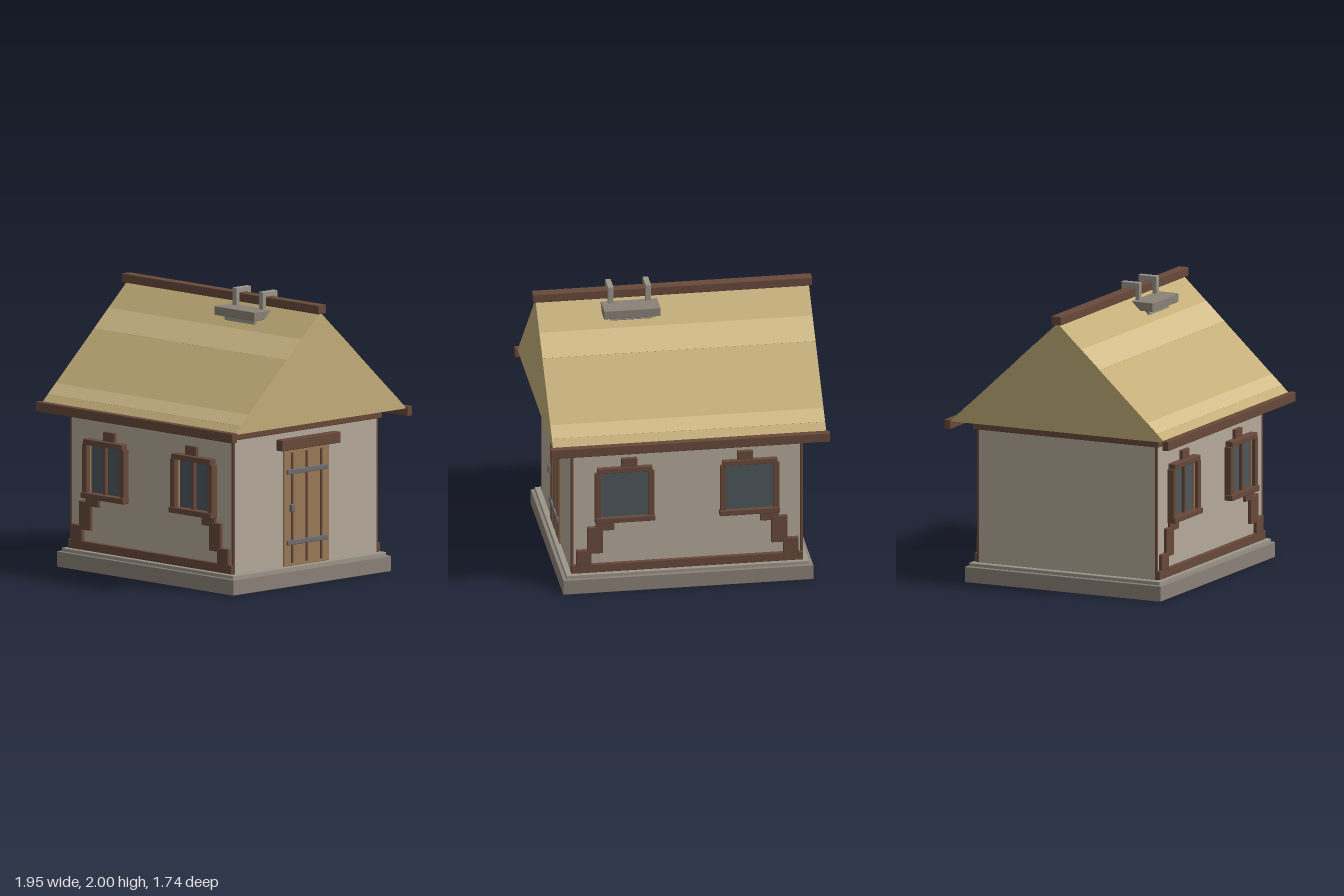
import * as THREE from 'three';
import { RoundedBoxGeometry } from 'three/addons/geometries/RoundedBoxGeometry.js';

const mat = (color) => new THREE.MeshStandardMaterial({ color });

export function createModel() {
  const house = new THREE.Group();
  house.name = 'cottage';
  const stone = mat(0x8b8278), plaster = mat(0xb5aa9a), timber = mat(0x68493a);
  const thatch = mat(0xc4ae7a), paleThatch = mat(0xd2bc8a), glass = mat(0x4d575c);
  const planks = mat(0x9a7a58), iron = mat(0x6e6e72), mortar = mat(0x9c958a);

  // Slightly eased box given by its extents on each axis
  function box(parent, name, material, [x0, x1], [y0, y1], [z0, z1]) {
    const w = x1 - x0, h = y1 - y0, d = z1 - z0;
    const radius = Math.min(0.005, Math.min(w, h, d) * 0.25);
    const mesh = new THREE.Mesh(new RoundedBoxGeometry(w, h, d, 1, radius), material);
    mesh.name = name;
    mesh.position.set((x0 + x1) / 2, (y0 + y1) / 2, (z0 + z1) / 2);
    parent.add(mesh);
    return mesh;
  }
  function group(name, parent = house) {
    const g = new THREE.Group();
    g.name = name;
    parent.add(g);
    return g;
  }

  // Stone footing and plastered walls
  box(house, 'foundation', stone, [-0.875, 0.875], [0, 0.11], [-0.76, 0.76]);
  box(house, 'foundationStep', mortar, [-0.85, 0.85], [0.105, 0.135], [-0.74, 0.74]);
  box(house, 'walls', plaster, [-0.81, 0.81], [0.13, 1.14], [-0.695, 0.695]);
  box(house, 'wallPlate', timber, [-0.83, 0.83], [1.075, 1.143], [-0.72, 0.72]);

  // Slim corner posts
  for (const sx of [-1, 1]) for (const sz of [-1, 1]) {
    const post = box(house, 'cornerPost', timber, [-0.01, 0.01], [0.135, 1.08], [-0.01, 0.01]);
    post.position.x = sx * 0.802;
    post.position.z = sz * 0.69;
  }

  // Half-timbering and windows; the back wall is the front turned around
  function longWall(name, isFront) {
    const wall = group(name);
    const out = isFront ? 0.75 : 0.725;
    box(wall, 'sillBeam', timber, [-0.81, 0.81], [0.137, 0.2], [0.68, 0.72]);
    for (const s of [-1, 1]) {
      const span = (a, b) => (s > 0 ? [a, b] : [-b, -a]);
      const win = group('window', wall);
      box(win, 'glass', glass, span(0.26, 0.615), [0.54, 0.895], [0.68, 0.705]);
      box(win, 'innerJamb', timber, span(0.23, 0.275), [0.545, 0.888], [0.68, out - 0.005]);
      box(win, 'outerJamb', timber, span(0.6, 0.645), [0.545, 0.888], [0.68, out - 0.005]);
      box(win, 'windowHead', timber, span(0.245, 0.63), [0.885, 0.925], [0.68, out]);
      box(win, 'windowSill', timber, span(0.225, 0.645), [0.51, 0.55], [0.68, out + 0.008]);
      box(win, 'keyBlock', timber, span(0.35, 0.46), [0.92, 0.99], [0.68, 0.72]);
      if (isFront) {
        box(win, 'mullion', timber, span(0.427, 0.45), [0.545, 0.89], [0.69, 0.73]);
        for (const x of [0.28, 0.595]) {
          box(win, 'sashEdge', planks, span(x - 0.007, x + 0.007), [0.545, 0.89], [0.69, 0.72]);
        }
      }
      // Stepped brace running down to the corner
      const steps = [[0.51, 0.64, 0.45, 0.512], [0.588, 0.7, 0.28, 0.48], [0.67, 0.777, 0.195, 0.31]];
      steps.forEach(([x0, x1, y0, y1], i) =>
        box(wall, 'braceStep', timber, span(x0, x1), [y0, y1], [0.68, 0.717 + i * 0.002]));
    }
    return wall;
  }
  longWall('frontWall', true);
  longWall('backWall', false).rotation.y = Math.PI;

  // Plank door on the left gable wall
  const door = group('door');
  box(door, 'doorLeaf', planks, [0.79, 0.82], [0.135, 0.945], [-0.217, 0.217]);
  for (const z of [-0.14, 0, 0.14]) {
    box(door, 'doorBatten', timber, [0.8, 0.827], [0.155, 0.93], [z - 0.01, z + 0.01]);
  }
  for (const y of [0.3, 0.795]) {
    box(door, 'hingeStrap', iron, [0.8, 0.835], [y - 0.017, y + 0.017], [-0.195, 0.195]);
  }
  box(door, 'doorHandle', iron, [0.8, 0.845], [0.515, 0.568], [0.135, 0.167]);
  box(door, 'doorLintel', timber, [0.79, 0.87], [0.955, 1.032], [-0.282, 0.282]);

  // Solid thatched roof with closed gables
  const gable = new THREE.Shape();
  gable.moveTo(-0.832, 1.143);
  gable.lineTo(0.832, 1.143);
  gable.lineTo(0, 1.91);
  gable.closePath();
  const roofGeo = new THREE.ExtrudeGeometry(gable, { depth: 1.91, bevelEnabled: false });
  roofGeo.translate(0, 0, -0.955).rotateY(Math.PI / 2);
  const roof = new THREE.Mesh(roofGeo, thatch);
  roof.name = 'thatchedRoof';
  house.add(roof);

  // Paler courses lying on both slopes
  const slope = Math.atan2(0.767, 0.832);
  for (const side of [-1, 1]) for (const [y0, y1] of [[1.61, 1.74], [1.2, 1.27]]) {
    const y = (y0 + y1) / 2;
    const course = new THREE.Mesh(
      new THREE.BoxGeometry(1.908, 0.003, (y1 - y0) / Math.sin(slope)), paleThatch);
    course.name = 'thatchCourse';
    course.position.set(0, y, side * (1.91 - y) / Math.tan(slope));
    course.rotation.x = side * slope;
    house.add(course);
  }

  // Ridge and eaves timbers
  box(house, 'ridgeBeam', timber, [-0.975, 0.975], [1.9, 1.962], [-0.038, 0.038]);
  for (const z of [-0.845, 0.845]) {
    box(house, 'eavesBeam', timber, [-0.975, 0.975], [1.09, 1.158], [z - 0.024, z + 0.024]);
  }

  // Stone chimney saddle with two hoops over the ridge
  const chimney = group('chimneySaddle');
  box(chimney, 'saddleSlab', stone, [0.108, 0.505], [1.815, 1.878], [-0.198, 0.198]);
  box(chimney, 'saddleFoot', mortar, [0.157, 0.457], [1.78, 1.82], [-0.15, 0.15]);
  for (const x of [0.176, 0.438]) {
    const xs = [x - 0.02, x + 0.02];
    const hoop = group('ridgeHoop', chimney);
    box(hoop, 'hoopTop', mortar, xs, [1.962, 2], [-0.071, 0.071]);
    for (const z of [-0.054, 0.054]) {
      box(hoop, 'hoopLeg', mortar, xs, [1.87, 1.99], [z - 0.017, z + 0.017]);
    }
  }
  return house;
}
